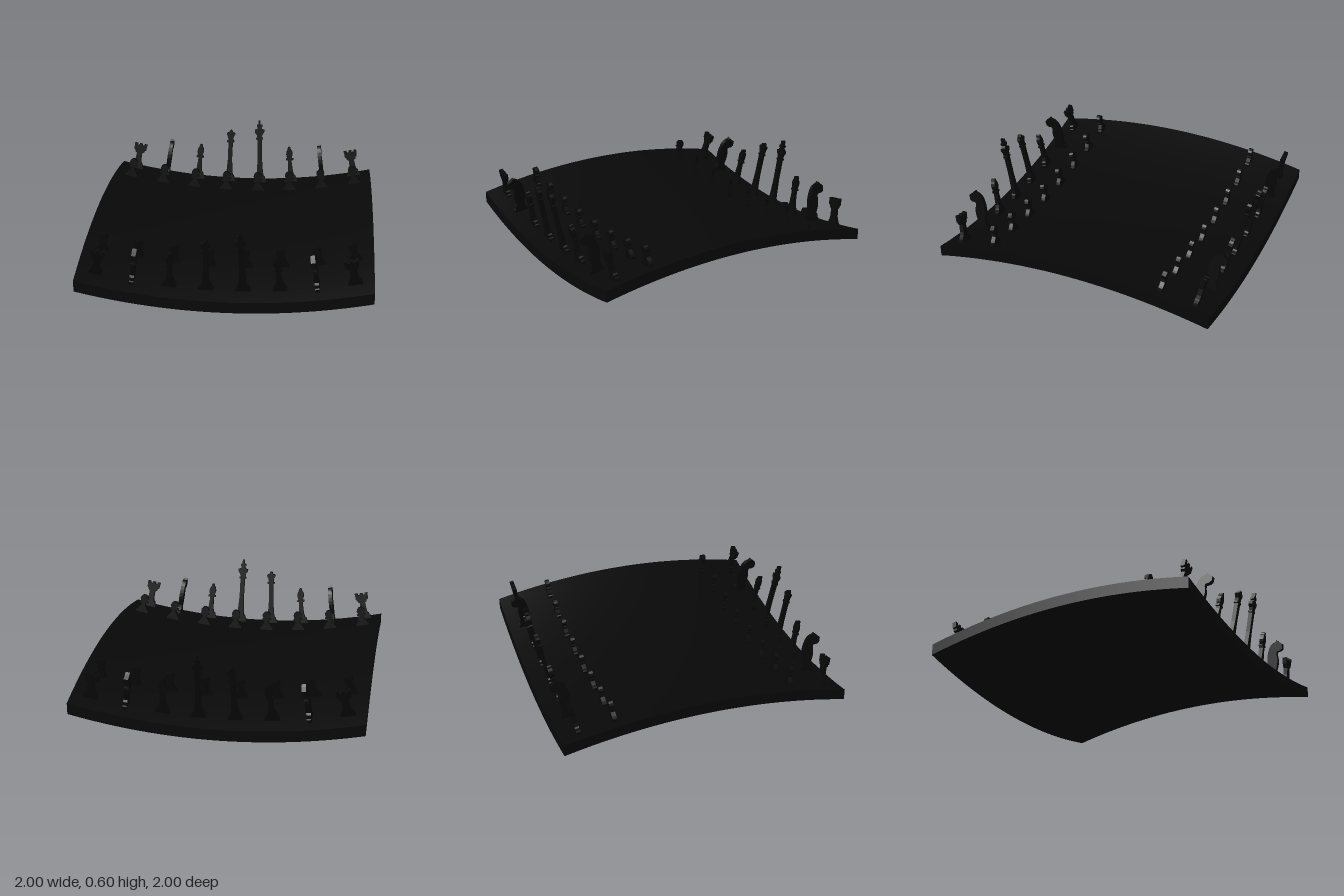
import * as THREE from 'three';

const CURVE = 0.115;
const THICK = 0.03;
const saddle = (x, z) => CURVE * (x * x - z * z);
const material = new THREE.MeshStandardMaterial({ color: 0x080808 });

// Half outlines: [height, half width], from the foot upwards
const foot = [[-0.01, 0.05], [0.02, 0.05], [0.024, 0.042], [0.042, 0.038], [0.05, 0.028]];
const halves = {
  pawn: [[-0.01, 0.048], [0.018, 0.048], [0.022, 0.038], [0.035, 0.032], [0.06, 0.015], [0.075, 0.014],
    [0.077, 0.032], [0.087, 0.032], [0.089, 0.018], [0.098, 0.026], [0.113, 0.031], [0.128, 0.026], [0.139, 0.014], [0.142, 0]],
  rook: [...foot, [0.075, 0.023], [0.125, 0.02], [0.135, 0.034], [0.148, 0.036], [0.155, 0.047], [0.203, 0.05],
    [0.203, 0.028], [0.188, 0.027], [0.188, 0.012], [0.203, 0.011]],
  bishop: [...foot, [0.075, 0.02], [0.16, 0.013], [0.172, 0.014], [0.174, 0.028], [0.186, 0.028], [0.188, 0.016],
    [0.205, 0.022], [0.225, 0.026], [0.245, 0.021], [0.262, 0.011], [0.268, 0.012], [0.276, 0.009], [0.281, 0]],
  queen: [...foot, [0.08, 0.023], [0.18, 0.016], [0.315, 0.017], [0.318, 0.028], [0.33, 0.028], [0.332, 0.018],
    [0.355, 0.021], [0.385, 0.034], [0.392, 0.03], [0.396, 0.014], [0.405, 0.012], [0.414, 0.007], [0.416, 0]],
  king: [...foot, [0.08, 0.024], [0.2, 0.016], [0.345, 0.017], [0.348, 0.027], [0.36, 0.027], [0.363, 0.018],
    [0.385, 0.022], [0.405, 0.037], [0.424, 0.037], [0.428, 0.02], [0.444, 0.01], [0.448, 0.021], [0.464, 0.021],
    [0.467, 0.008], [0.498, 0.007]],
};

function extrude(shape) {
  const geometry = new THREE.ExtrudeGeometry(shape, { depth: THICK, bevelEnabled: false, curveSegments: 6 });
  return geometry.translate(0, 0, -THICK / 2);
}

// Mirror a half outline into a flat cut-out piece
function symmetricPiece(half) {
  const right = half.map(([h, w]) => new THREE.Vector2(w, h));
  const left = half.filter(([, w]) => w > 0).map(([h, w]) => new THREE.Vector2(-w, h)).reverse();
  return extrude(new THREE.Shape([...right, ...left]));
}

// Horse-head cut-out: its muzzle points to local +x
function knightPiece() {
  const s = new THREE.Shape();
  s.moveTo(-0.05, -0.01);
  s.lineTo(0.05, -0.01);
  s.lineTo(0.05, 0.022);
  s.lineTo(0.04, 0.026);
  s.lineTo(0.036, 0.05);
  s.lineTo(0.024, 0.062);
  s.quadraticCurveTo(0.038, 0.12, 0.025, 0.16);
  s.quadraticCurveTo(0.014, 0.185, 0.018, 0.2);
  s.lineTo(0.045, 0.208);
  s.lineTo(0.06, 0.222);
  s.lineTo(0.058, 0.258);
  s.lineTo(0.028, 0.275);
  s.lineTo(0.012, 0.287);
  s.lineTo(0.002, 0.272);
  s.quadraticCurveTo(-0.03, 0.262, -0.042, 0.225);
  s.quadraticCurveTo(-0.064, 0.14, -0.035, 0.07);
  s.lineTo(-0.036, 0.05);
  s.lineTo(-0.04, 0.026);
  s.lineTo(-0.05, 0.022);
  return extrude(s);
}

// Saddle-shaped slab
function makeBoard() {
  const geometry = new THREE.BoxGeometry(2, 0.08, 2, 32, 1, 32);
  const p = geometry.attributes.position;
  for (let i = 0; i < p.count; i++) {
    p.setY(i, p.getY(i) + 0.16 + saddle(p.getX(i), p.getZ(i)));
  }
  geometry.computeVertexNormals();
  const board = new THREE.Mesh(geometry, material);
  board.name = 'board';
  return board;
}

export function createModel() {
  const model = new THREE.Group();
  model.name = 'curvedChessSet';
  model.add(makeBoard());

  const geometries = { knight: knightPiece() };
  for (const name in halves) geometries[name] = symmetricPiece(halves[name]);

  // Stand a piece on its square, upright to the curved surface
  const up = new THREE.Vector3(0, 1, 0);
  function place(name, x, z) {
    const piece = new THREE.Mesh(geometries[name], material);
    piece.name = name;
    if (name === 'knight') piece.rotation.y = -Math.sign(z) * Math.PI / 2;
    const normal = new THREE.Vector3(-2 * CURVE * x, 1, 2 * CURVE * z).normalize();
    piece.quaternion.premultiply(new THREE.Quaternion().setFromUnitVectors(up, normal));
    piece.position.set(x, 0.2 + saddle(x, z), z);
    model.add(piece);
  }

  const backRank = ['rook', 'knight', 'bishop', 'queen', 'king', 'bishop', 'knight', 'rook'];
  for (const side of [1, -1]) {
    backRank.forEach((name, i) => {
      const x = -0.875 + i * 0.25;
      place(name, x, side * 0.875);
      place('pawn', x, side * 0.625);
    });
  }
  return model;
}
